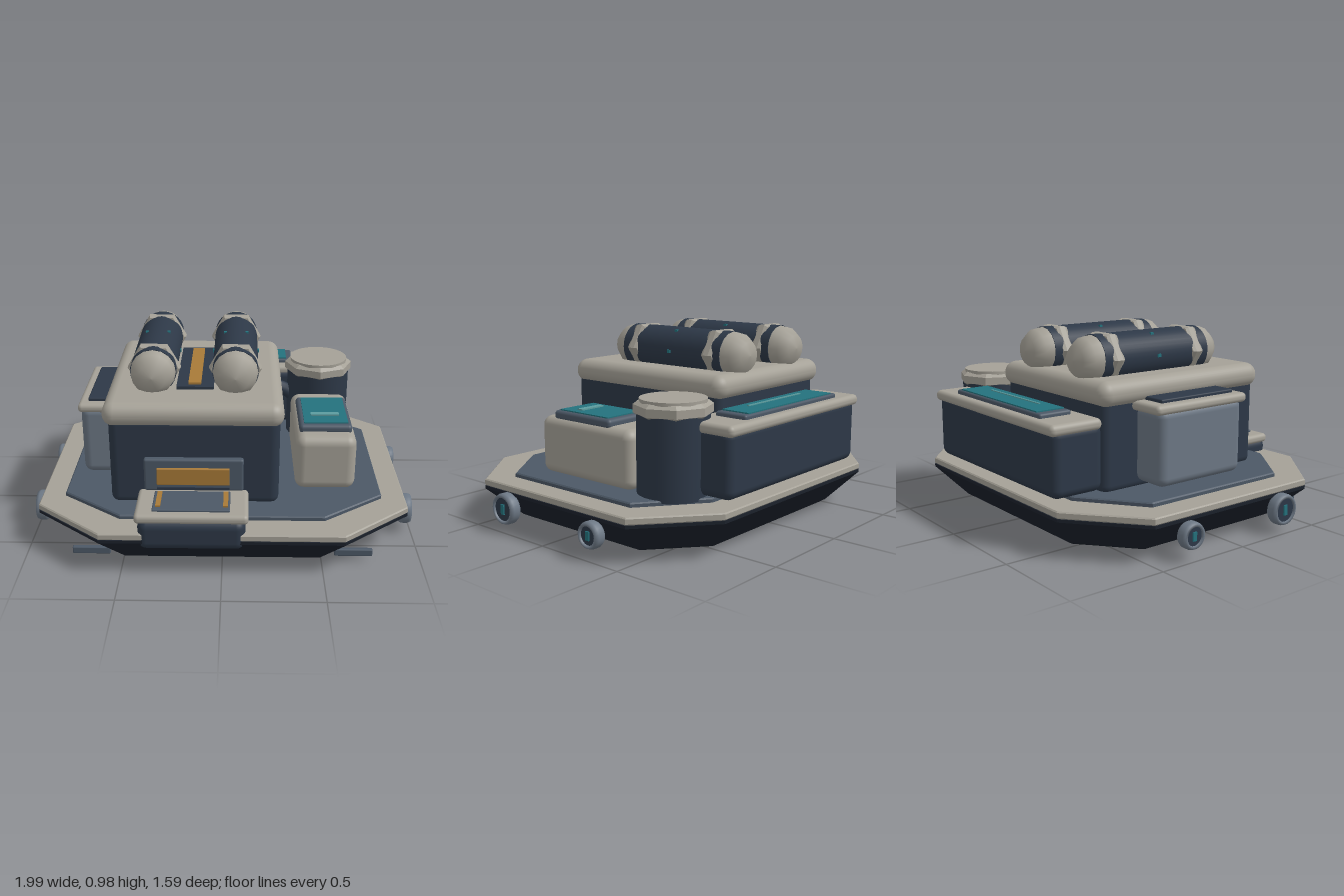
import * as THREE from 'three';
import { RoundedBoxGeometry } from 'three/addons/geometries/RoundedBoxGeometry.js';

const mat = (color, extra = {}) => new THREE.MeshStandardMaterial({ color, ...extra });
const hullMat = mat(0x1b212b, { flatShading: true });
const navy = mat(0x2d3847);
const beige = mat(0xa5a197);
const beigeFlat = mat(0xa5a197, { flatShading: true });
const slate = mat(0x4c5866);
const steel = mat(0x6d7885);
const teal = mat(0x24727d);
const glow = mat(0x5c9c9f);
const gold = mat(0xa87a38);

export function createModel() {
  const root = new THREE.Group();

  const add = (name, geometry, material, x = 0, y = 0, z = 0, parent = root) => {
    const mesh = new THREE.Mesh(geometry, material);
    mesh.name = name;
    mesh.position.set(x, y, z);
    parent.add(mesh);
    return mesh;
  };

  // Box given by its min and max on each axis; r rounds the edges
  const box = (name, material, [x0, x1], [y0, y1], [z0, z1], r = 0, parent = root) => {
    const s = [x1 - x0, y1 - y0, z1 - z0];
    const g = r ? new RoundedBoxGeometry(...s, 4, Math.min(r, Math.min(...s) / 2 - 0.001))
      : new THREE.BoxGeometry(...s);
    return add(name, g, material, (x0 + x1) / 2, (y0 + y1) / 2, (z0 + z1) / 2, parent);
  };

  // Octagonal outline: half width, half depth and where the corners are cut
  const octagon = (w, d, cx, cz) => [
    [cx, -d], [w, -cz], [w, cz], [cx, d], [-cx, d], [-w, cz], [-w, -cz], [-cx, -d],
  ];
  const plate = (name, material, points, y, h) => {
    const shape = new THREE.Shape(points.map(([x, z]) => new THREE.Vector2(x, -z)));
    const g = new THREE.ExtrudeGeometry(shape, { depth: h - 0.012, bevelThickness: 0.006, bevelSize: 0.006, bevelOffset: -0.006, bevelSegments: 1 });
    g.rotateX(-Math.PI / 2);
    return add(name, g, material, 0, y + 0.006, 0);
  };

  // Hull lofted through scaled octagon sections
  const outline = octagon(0.945, 0.79, 0.6, 0.5);
  const sections = [[0.005, 0], [0.005, 0.78], [0.025, 0.82], [0.185, 1], [0.2, 1], [0.2, 0]];
  const pos = [], index = [];
  for (const [y, s] of sections) for (const [x, z] of outline) pos.push(x * s, y, z * s);
  for (let i = 0; i < sections.length - 1; i++) {
    for (let j = 0; j < 8; j++) {
      const a = i * 8 + j, b = i * 8 + (j + 1) % 8;
      index.push(a, a + 8, b, b, a + 8, b + 8);
    }
  }
  const hull = new THREE.BufferGeometry();
  hull.setAttribute('position', new THREE.Float32BufferAttribute(pos, 3));
  hull.setIndex(index);
  hull.computeVertexNormals();
  add('hull', hull, hullMat);
  plate('rim', beigeFlat, outline, 0.2, 0.036);
  plate('deck', slate, octagon(0.82, 0.645, 0.51, 0.41), 0.22, 0.038);

  // Main cabin with its thick roof and roof strip
  box('cabin', navy, [-0.57, 0.285], [0.24, 0.72], [-0.5, 0.5], 0.045);
  box('roof', beige, [-0.6, 0.305], [0.665, 0.79], [-0.525, 0.515], 0.06);
  box('roofRecess', navy, [-0.24, -0.05], [0.77, 0.805], [-0.31, 0.29]);
  box('roofStrip', gold, [-0.18, -0.115], [0.8, 0.817], [-0.27, 0.26]);

  // Front panel
  box('frontPanel', slate, [-0.395, 0.105], [0.335, 0.51], [0.48, 0.53], 0.012);
  box('frontLight', gold, [-0.33, 0.035], [0.375, 0.465], [0.52, 0.545], 0.004);
  box('frontSlot', navy, [-0.33, 0.035], [0.345, 0.358], [0.52, 0.537]);

  // Front step
  box('stepBase', navy, [-0.41, 0.115], [0.145, 0.305], [0.5, 0.795], 0.045);
  box('stepTop', beige, [-0.425, 0.13], [0.285, 0.335], [0.495, 0.785], 0.022);
  box('stepMat', slate, [-0.34, 0.04], [0.32, 0.345], [0.545, 0.74], 0.006);
  for (const x of [-0.312, 0.018]) {
    box('stepBar', gold, [x - 0.012, x + 0.012], [0.34, 0.353], [0.565, 0.71]);
  }

  // Side locker on the right
  box('locker', steel, [-0.75, -0.54], [0.28, 0.66], [-0.3, 0.235], 0.045);
  box('lockerLid', beige, [-0.76, -0.54], [0.637, 0.685], [-0.33, 0.255], 0.022);
  box('lockerPanel', navy, [-0.71, -0.58], [0.67, 0.702], [-0.265, 0.2], 0.008);

  // Side pod on the left
  box('pod', beige, [0.375, 0.69], [0.25, 0.55], [-0.285, 0.355], 0.05);
  box('podPanel', slate, [0.395, 0.67], [0.535, 0.584], [-0.13, 0.27], 0.02);
  box('podScreen', teal, [0.42, 0.65], [0.57, 0.59], [-0.1, 0.24]);
  box('podScreenLine', glow, [0.46, 0.61], [0.58, 0.597], [0.12, 0.155]);

  // Rear cargo box
  box('cargoBox', navy, [-0.56, 0.55], [0.265, 0.6], [-0.775, -0.49], 0.045);
  box('cargoLid', beige, [-0.568, 0.56], [0.567, 0.623], [-0.79, -0.5], 0.025);
  box('cargoPanel', slate, [-0.405, 0.395], [0.605, 0.645], [-0.745, -0.565], 0.012);
  box('cargoScreen', teal, [-0.365, 0.36], [0.63, 0.651], [-0.735, -0.58]);
  box('cargoScreenLine', glow, [-0.23, 0.225], [0.645, 0.656], [-0.637, -0.627]);

  // Drum with an eight-sided collar and a pipe to the cabin
  const lathe = (pts, n, start = 0) =>
    new THREE.LatheGeometry(pts.map(p => new THREE.Vector2(...p)), n, start);
  const drum = new THREE.Group();
  drum.name = 'drum';
  drum.position.set(0.54, 0, -0.43);
  root.add(drum);
  add('drumBody', new THREE.CylinderGeometry(0.177, 0.177, 0.4, 32), navy, 0, 0.445, 0, drum);
  add('drumCollar', lathe([[0, 0.63], [0.17, 0.63], [0.192, 0.645], [0.192, 0.685], [0.17, 0.702], [0, 0.702]], 8),
    beigeFlat, 0, 0, 0, drum);
  add('drumLid', new THREE.CylinderGeometry(0.163, 0.163, 0.04, 32), beige, 0, 0.695, 0, drum);
  const pipePath = new THREE.CatmullRomCurve3([[0.24, 0.54, -0.4], [0.31, 0.535, -0.4], [0.36, 0.51, -0.41], [0.42, 0.46, -0.42]]
    .map(p => new THREE.Vector3(...p)));
  add('pipe', new THREE.TubeGeometry(pipePath, 16, 0.04, 12), navy);

  // Twin roof tanks lying along z
  for (const x of [-0.36, 0.06]) {
    const tank = new THREE.Group();
    tank.name = 'tank';
    tank.position.set(x, 0.868, -0.085);
    root.add(tank);
    const body = add('tankBody', new THREE.CylinderGeometry(0.118, 0.118, 0.66, 32), navy, 0, 0, 0, tank);
    body.rotation.x = Math.PI / 2;
    for (const s of [1, -1]) {
      const cap = add('tankCap', lathe([[0.117, 0], [0.108, 0.055], [0.07, 0.103], [0, 0.112]].reverse()
        .map(([r, h]) => [r, -h]), 16), beige, 0, 0, s * 0.325, tank);
      cap.rotation.x = -s * Math.PI / 2;
      const band = add('tankBand', lathe([[0.1, -0.032], [0.128, -0.032], [0.137, -0.016], [0.137, 0.016], [0.128, 0.032], [0.1, 0.032]], 6, Math.PI / 2),
        beigeFlat, 0, 0, s * 0.255, tank);
      band.rotation.x = Math.PI / 2;
      // Small lights around the middle
      for (const a of [0, Math.PI / 3]) {
        add('tankLight', new THREE.BoxGeometry(0.016, 0.016, 0.018), teal,
          s * 0.116 * Math.cos(a), 0.116 * Math.sin(a), 0, tank);
      }
    }
  }

  // Side thrusters: ring, hub and light, larger at the front
  for (const side of [1, -1]) {
    for (const [z, r] of [[0.305, 0.08], [-0.305, 0.066]]) {
      const wheel = new THREE.Group();
      wheel.name = 'sideThruster';
      wheel.position.set(side * 0.965, 0.122, z);
      wheel.rotation.y = side * Math.PI / 2;
      root.add(wheel);
      const ring = lathe([[r - 0.02, -0.027], [r - 0.006, -0.027], [r, -0.015], [r, 0.015], [r - 0.006, 0.03], [r - 0.02, 0.03], [r - 0.02, -0.027]], 28);
      add('thrusterRing', ring, steel, 0, 0, 0, wheel).rotation.x = Math.PI / 2;
      add('thrusterHub', new THREE.CylinderGeometry(r - 0.018, r - 0.018, 0.045, 24), navy, 0, 0, 0, wheel)
        .rotation.x = Math.PI / 2;
      add('thrusterLight', new THREE.BoxGeometry(0.022, r * 0.65, 0.02), teal, 0, 0, 0.02, wheel);
    }
    // Low front bar
    add('frontBar', new RoundedBoxGeometry(0.192, 0.038, 0.026, 2, 0.006), slate, side * 0.66, 0.055, 0.638);
  }
  return root;
}
